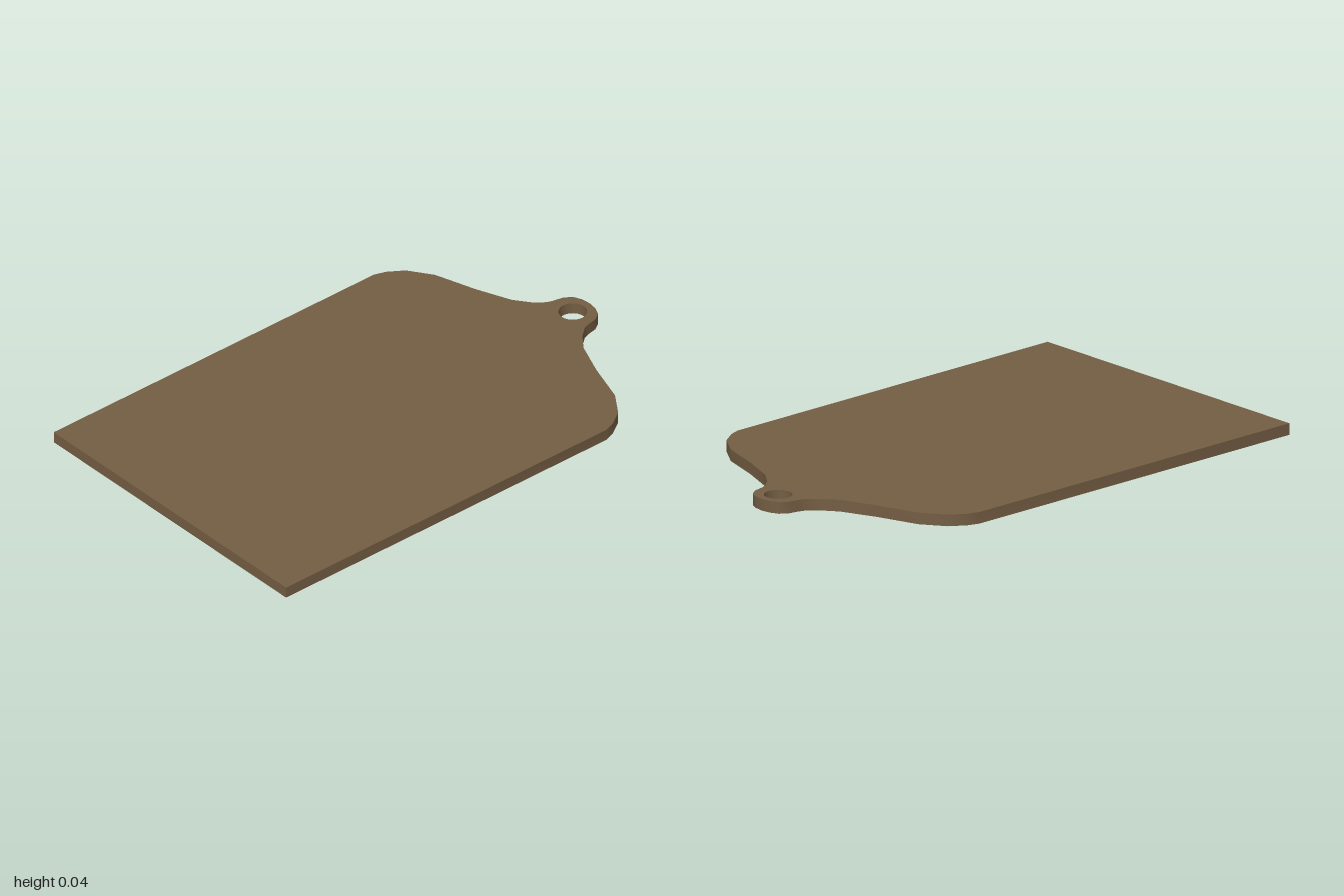
import * as THREE from 'three';
import { toCreasedNormals } from 'three/addons/utils/BufferGeometryUtils.js';

const THICKNESS = 0.044;

// Half outline from the square end to the hanging loop: [x, distance towards the back]
const HALF = [
  [0.645, -1], [0.645, 0.525], [0.63, 0.57], [0.59, 0.63], [0.5, 0.692],
  [0.335, 0.745], [0.2, 0.8], [0.14, 0.845], [0.107, 0.885], [0.098, 0.91],
  [0.09, 0.95], [0.07, 0.98], [0.038, 0.995],
];

export function createModel() {
  const wood = new THREE.MeshStandardMaterial({ color: 0x745d43 });
  wood.name = 'brown wood';

  // Mirrored outline with a round hanging hole
  const mirrored = HALF.map(([x, y]) => [-x, y]).reverse();
  const outline = [...HALF, [0, 1], ...mirrored].map(([x, y]) => new THREE.Vector2(x, y));
  const shape = new THREE.Shape(outline);
  const hole = new THREE.Path();
  hole.absarc(0, 0.92, 0.052, 0, Math.PI * 2, true);
  shape.holes.push(hole);

  // Flat slab lying on the ground, smooth around the curved rim
  const slab = new THREE.ExtrudeGeometry(shape, {
    depth: THICKNESS, bevelEnabled: false, curveSegments: 12,
  });
  slab.rotateX(-Math.PI / 2);
  const board = new THREE.Mesh(toCreasedNormals(slab, Math.PI / 4), wood);
  board.name = 'board';

  const group = new THREE.Group();
  group.name = 'cuttingBoard';
  group.add(board);
  return group;
}
